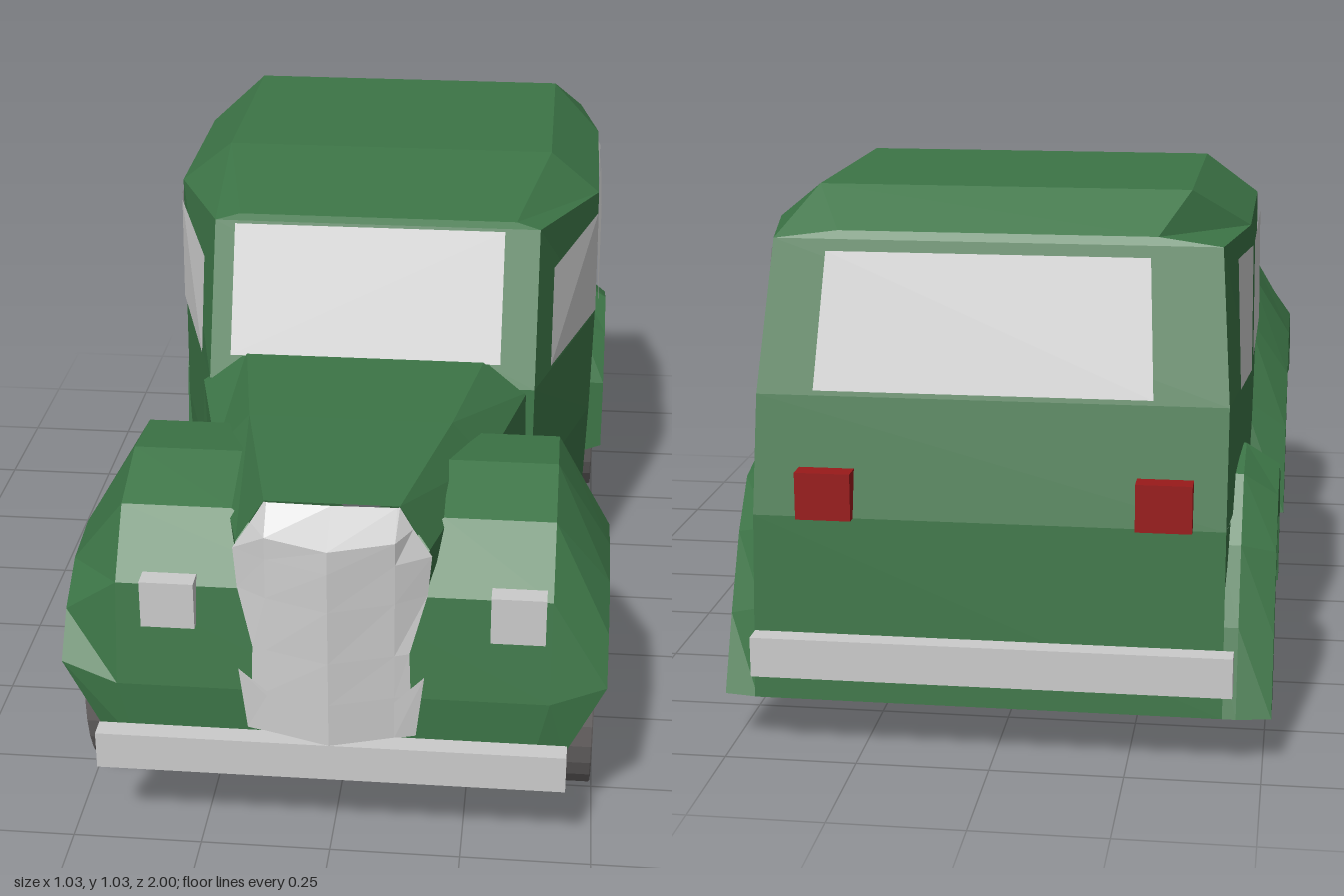
import * as THREE from 'three';

const paint = (color) => new THREE.MeshStandardMaterial({ color, flatShading: true, side: THREE.DoubleSide });
const GREEN = paint(0x3c7446), GREY = paint(0xcccccc), RED = paint(0x991a1a), RUBBER = paint(0x6c6868);

const mirror = ([x, y, z]) => [-x, y, z];
const vec = (p) => new THREE.Vector3(...p);

// Flat-shaded surface from patches, each a list of rows of points
function grid(patches) {
  const pos = [];
  for (const rows of patches) {
    for (let i = 0; i + 1 < rows.length; i++) {
      for (let j = 0; j + 1 < rows[0].length; j++) {
        const [a, b, c, d] = [rows[i][j], rows[i][j + 1], rows[i + 1][j + 1], rows[i + 1][j]];
        pos.push(...a, ...b, ...c, ...a, ...c, ...d);
      }
    }
  }
  const g = new THREE.BufferGeometry();
  g.setAttribute('position', new THREE.Float32BufferAttribute(pos, 3));
  g.computeVertexNormals();
  return g;
}

function add(parent, name, geometry, material, x = 0, y = 0, z = 0) {
  const mesh = new THREE.Mesh(geometry, material);
  mesh.name = name;
  mesh.position.set(x, y, z);
  parent.add(mesh);
  return mesh;
}

// Stacked half-rings (front corner to rear corner), mirrored, closed on top and open below
function shell(halfRings) {
  const rings = halfRings.map((h) => {
    const ring = [...h, ...h.map(mirror).reverse()].reverse();
    return [...ring, ring[0]];
  });
  return grid([rings, halfRings.at(-1).map((p) => [p, mirror(p)])]);
}

// Glass pane on a wall patch: bottom edge p0-p1, top edge q0-q1
function pane(p0, p1, q0, q1, u0, u1, v0, v1, v1End = v1) {
  const [a, b, c, d] = [p0, p1, q0, q1].map(vec);
  const n = b.clone().sub(a).cross(c.clone().sub(a)).normalize();
  const centre = a.clone().add(d).multiplyScalar(0.5).sub(new THREE.Vector3(0, 0.6, -0.3));
  n.multiplyScalar(n.dot(centre) < 0 ? -0.007 : 0.007);
  const at = (u, v) => a.clone().lerp(b, u).lerp(c.clone().lerp(d, u), v).add(n).toArray();
  return grid([[[at(u0, v0), at(u1, v0)], [at(u0, v1), at(u1, v1End)]]]);
}

// Fender swept over the wheel from outer, shoulder and arch curves of [z, y]
function fender(side, outer, shoulder, arch, section) {
  const rows = outer.map((o, i) => {
    const [xIn, xTop, xOut, xLip] = section(i);
    const pts = [[xIn, o], [xTop, o], [xOut, shoulder[i]], [xOut, arch[i]], [xLip, arch[i]]];
    const row = pts.map(([x, [z, y]]) => [side * x, y, z]);
    return side > 0 ? row.reverse() : row;
  });
  return grid([rows]);
}

export function createModel() {
  const car = new THREE.Group();
  car.name = 'car';

  // Cabin, set slightly off centre
  const cabin = new THREE.Group();
  cabin.name = 'cabin';
  cabin.position.x = 0.015;
  car.add(cabin);
  const sill = [[0.34, 0.45, 0.33], [0.46, 0.45, -0.08], [0.46, 0.45, -0.6], [0.44, 0.45, -0.91]];
  const waist = [[0.34, 0.67, 0.31], [0.465, 0.67, -0.12], [0.465, 0.67, -0.585], [0.44, 0.67, -0.86]];
  const belt = [[0.34, 0.975, 0.18], [0.462, 0.955, -0.12], [0.462, 0.955, -0.55], [0.42, 0.95, -0.775]];
  const roof = [[0.29, 0.985, 0.165], [0.355, 1.037, -0.14], [0.355, 1.037, -0.66], [0.3, 0.965, -0.765]];
  add(cabin, 'upperBody', shell([sill, waist, belt, roof]), GREEN);

  // Lower walls, open underneath and at the rear wheels
  const doorTop = [[0.34, 0.45, 0.33], [0.46, 0.45, -0.08], [0.46, 0.45, -0.4]];
  const doorBottom = doorTop.map(([x, , z]) => [x - 0.01, 0.17, z]);
  const door = [doorBottom, doorTop];
  add(cabin, 'leftLowerSide', grid([door.map((r) => [...r].reverse())]), GREEN);
  add(cabin, 'rightLowerSide', grid([door.map((r) => r.map(mirror))]), GREEN);
  const tail = [[[0.43, 0.14, -0.86], [0.44, 0.1, -0.94]], [[0.445, 0.45, -0.84], [0.44, 0.45, -0.91]]];
  add(cabin, 'rearPanel', grid([tail.map((r) => [...r, ...r.map(mirror).reverse()].reverse())]), GREEN);

  // Windows
  for (const [s, label] of [[1, 'left'], [-1, 'right']]) {
    const [w, t] = [waist, belt].map((r) => (s > 0 ? r : r.map(mirror)));
    const sideWindow = (name, i, ...uv) => add(cabin, label + name, pane(w[i], w[i + 1], t[i], t[i + 1], ...uv), GREY);
    sideWindow('FrontWindow', 0, 0.2, 0.95, 0.05, 0.7, 0.85);
    sideWindow('MiddleWindow', 1, 0.05, 0.9, 0.07, 0.87);
    sideWindow('RearWindow', 2, 0.03, 0.62, 0.03, 0.87);
  }
  const endWindow = (name, i, ...uv) =>
    add(cabin, name, pane(mirror(waist[i]), waist[i], mirror(belt[i]), belt[i], ...uv), GREY);
  endWindow('windshield', 0, 0.085, 0.915, 0.15, 0.98).position.x = -0.015;
  endWindow('backWindow', 3, 0.14, 0.86, 0.03, 0.92).position.x = 0.015;

  // Hood tapering to the grille
  const hoodHalf = [
    [[0.25, 0.722, 0.28], [0.34, 0.66, 0.3], [0.35, 0.2, 0.34]],
    [[0.2, 0.72, 0.58], [0.27, 0.64, 0.58], [0.27, 0.24, 0.58]],
    [[0.125, 0.708, 0.91], [0.18, 0.62, 0.91], [0.15, 0.24, 0.91]],
  ];
  add(car, 'hood', grid([hoodHalf.map((h) => [...h.map(mirror).reverse(), ...h].reverse())]), GREEN);

  // Grille with a centre ridge: edge half width, edge height, edge z, inner height, inner z, ridge z
  const grilleRows = [[0.125, 0.706, 0.91, 0.706, 0.912, 0.915], [0.15, 0.665, 0.915, 0.655, 0.955, 0.998],
    [0.185, 0.61, 0.915, 0.61, 0.955, 1], [0.178, 0.53, 0.92, 0.53, 0.957, 1], [0.147, 0.42, 0.95, 0.42, 0.96, 1],
    [0.15, 0.33, 0.952, 0.33, 0.962, 1], [0.175, 0.37, 0.95, 0.32, 0.962, 1], [0.16, 0.24, 0.95, 0.24, 0.962, 1]];
  add(car, 'grille', grid([grilleRows.map(([w, y, z, yIn, zIn, zRidge]) => {
    const half = [[0.12, yIn, zIn], [w, y, z]];
    return [...[...half].reverse(), [0, yIn, zRidge], ...half.map(mirror)];
  })]), GREY);

  // Fenders; the front pair meets in the middle as front and rear aprons
  const frontOuter = [[0.945, 0.19], [0.945, 0.32], [0.91, 0.52], [0.82, 0.64], [0.68, 0.69], [0.53, 0.675], [0.43, 0.58], [0.37, 0.38], [0.32, 0.105]];
  const frontShoulder = [[0.93, 0.2], [0.94, 0.36], [0.88, 0.44], [0.79, 0.5], [0.67, 0.515], [0.56, 0.5], [0.46, 0.42], [0.4, 0.3], [0.33, 0.105]];
  const frontArch = [[0.9, 0.2], [0.88, 0.33], [0.84, 0.41], [0.77, 0.46], [0.67, 0.475], [0.58, 0.455], [0.5, 0.38], [0.45, 0.25], [0.43, 0.12]];
  const rearOuter = [[-0.4, 0.17], [-0.41, 0.36], [-0.49, 0.49], [-0.62, 0.54], [-0.75, 0.515], [-0.83, 0.4], [-0.89, 0.26], [-0.94, 0.1]];
  const rearShoulder = [[-0.41, 0.19], [-0.43, 0.35], [-0.51, 0.45], [-0.62, 0.5], [-0.73, 0.47], [-0.8, 0.38], [-0.87, 0.24], [-0.93, 0.1]];
  const rearArch = [[-0.42, 0.22], [-0.45, 0.34], [-0.53, 0.43], [-0.62, 0.455], [-0.7, 0.44], [-0.76, 0.36], [-0.8, 0.22], [-0.84, 0.11]];
  const frontSection = (i) => [i < 3 || i > 6 ? 0 : 0.2, i === 0 ? 0.38 : 0.41, i === 0 ? 0.44 : 0.515, 0.4];
  const rearSection = () => [0.41, 0.45, 0.515, 0.42];

  // Wheel profiles: radius, offset along the axle
  const hubHalf = [[0, 0.052], [0.032, 0.052], [0.032, 0.026], [0.085, 0.026], [0.095, 0.04], [0.122, 0.04], [0.128, 0.028], [0.156, 0.042]];
  const tyreProfile = [[0.153, 0.035], [0.16, 0.0525], [0.218, 0.0525], [0.22, 0.05], [0.22, -0.05], [0.218, -0.0525], [0.16, -0.0525], [0.153, -0.035]];
  const lathe = (pts) => new THREE.LatheGeometry(pts.map(([r, h]) => new THREE.Vector2(r, h)), 28).rotateZ(-Math.PI / 2);
  const hub = lathe([...hubHalf, ...hubHalf.map(([r, h]) => [r, -h]).reverse()]);
  const tyre = lathe(tyreProfile);

  for (const [s, label] of [[1, 'left'], [-1, 'right']]) {
    add(car, label + 'FrontFender', fender(s, frontOuter, frontShoulder, frontArch, frontSection), GREEN);
    add(car, label + 'RearFender', fender(s, rearOuter, rearShoulder, rearArch, rearSection), GREEN);

    // Wheels, slightly narrower than tall
    for (const [z, end] of [[0.687, 'Front'], [-0.6, 'Rear']]) {
      const wheel = new THREE.Group();
      wheel.name = label + end + 'Wheel';
      wheel.position.set(s * 0.4425, 0.222, z);
      wheel.scale.z = 0.81;
      add(wheel, 'tyre', tyre, RUBBER);
      add(wheel, 'hub', hub, GREEN);
      car.add(wheel);
    }

    // Lamps
    add(car, label + 'Headlight', new THREE.BoxGeometry(0.102, 0.095, 0.04), GREY, s > 0 ? 0.347 : -0.308, 0.493, 0.92);
    add(car, label + 'TailLight', new THREE.BoxGeometry(0.104, 0.09, 0.05), RED, s > 0 ? 0.318 : -0.312, 0.495, -0.905);
  }

  // Bumpers
  for (const [s, name] of [[1, 'frontBumper'], [-1, 'rearBumper']]) {
    add(car, name, new THREE.BoxGeometry(0.89, 0.076, 0.04), GREY, 0, 0.203, s * 0.98);
  }
  return car;
}
